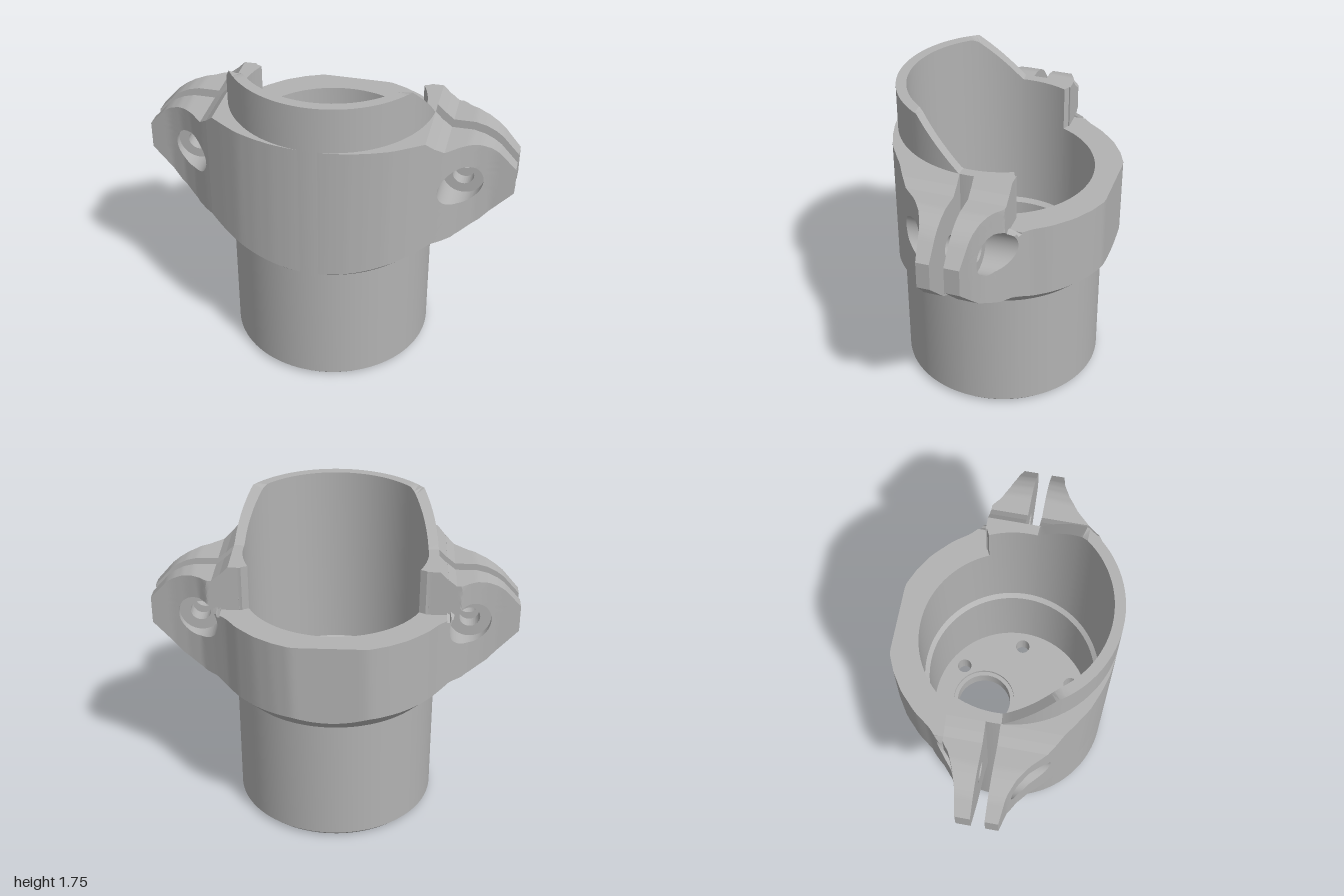
import * as THREE from 'three';
import { toCreasedNormals } from 'three/addons/utils/BufferGeometryUtils.js';

const CZ = 0.035;          // z of the tube axis
const R = 0.555;           // tube outer radius
const STEP_Z = -0.2;       // the rear of the clamp is lower behind this plane
const JOIN_X = 0.6;        // where the ears meet the clamp body
const V = (x, y, z) => new THREE.Vector3(x, y, z);
const { clamp, lerp } = THREE.MathUtils;

// Plan outlines [x, z] of the two clamp halves, from the centre to the ear tip
const HALVES = {
  front: {
    slot: 0.075, floor: 0.145, pocket: 0.11,
    plan: [[0, 0.59], [0.1, 0.585], [0.2, 0.57], [0.3, 0.54], [0.4, 0.5], [0.5, 0.435], [0.6, 0.365],
      [0.645, 0.33], [0.72, 0.255], [0.8, 0.2], [0.88, 0.165], [1, 0.145]],
  },
  rear: {
    slot: 0, floor: -0.08, pocket: 0.115,
    plan: [[0, -0.59], [0.2, -0.59], [0.3, -0.547], [0.4, -0.484], [0.5, -0.388], [0.56, -0.305],
      [0.645, -0.225], [0.72, -0.16], [0.8, -0.125], [0.88, -0.1], [1, -0.08]],
  },
};

// Ear outline in x, y
const EAR = [[0.6, 0.776], [0.655, 0.84], [0.74, 0.88], [0.83, 0.935], [1, 1.1], [1, 1.25], [0.91, 1.35],
  [0.87, 1.38], [0.82, 1.405], [0.76, 1.42], [0.645, 1.42], [0.6, 1.457]];
const BOLT = { x: 0.73, y: 1.18, r: 0.056 };

function planZ(plan, x) {
  const ax = Math.min(Math.abs(x), 1);
  let i = 1;
  while (i < plan.length - 1 && plan[i][0] < ax) i++;
  const [a, b] = [plan[i - 1], plan[i]];
  return lerp(a[1], b[1], (ax - a[0]) / (b[0] - a[0]));
}

// Conical underside that grows out of the tube
const coneY = (x, z) => Math.min(0.73 + Math.hypot(x, z - CZ) - R, 0.86);

// Skin closed cross-section loops; outward winding is picked from the signed volume
function loft(rings, wrap) {
  const n = rings[0].length;
  const pts = rings.flat();
  const index = [];
  const last = wrap ? rings.length : rings.length - 1;
  for (let j = 0; j < last; j++) {
    const k = (j + 1) % rings.length;
    for (let i = 0; i < n; i++) {
      const m = (i + 1) % n;
      const [a, b, c, d] = [j * n + i, j * n + m, k * n + m, k * n + i];
      index.push(a, b, c, a, c, d);
    }
  }
  let volume = 0;
  const cross = V(0, 0, 0);
  for (let i = 0; i < index.length; i += 3) {
    volume += pts[index[i]].dot(cross.crossVectors(pts[index[i + 1]], pts[index[i + 2]]));
  }
  if (volume < 0) index.reverse();
  const g = new THREE.BufferGeometry().setFromPoints(pts);
  g.setIndex(index);
  return toCreasedNormals(g, 0.45);
}

// Cup wall: full round below, stepped and sloped rim on top
function tubeGeometry() {
  const s = Math.asin((STEP_Z - CZ) / R);
  const angles = [];
  for (let i = 0; i < 90; i++) angles.push(-Math.PI / 2 + (i * Math.PI) / 45);
  for (const a of [s - 0.001, s + 0.001, 0.081, 0.561]) angles.push(a, Math.PI - a);
  angles.sort((a, b) => a - b);
  const top = (a, r) => (Math.sin(a) < Math.sin(s) ? 1.25
    : clamp(1.5 + CZ + r * Math.sin(a) - 0.08, 1.5, 1.75));
  const profile = [[0.5, 0], [0.53, 0], [R, 0.025], [R, null], [0.5, null], [0.5, 0.7], [0.475, 0.68], [0.475, 0.05]];
  return loft(profile.map(([r, y]) => angles.map((a) =>
    V(r * Math.cos(a), y === null ? top(a, r) : y, CZ + r * Math.sin(a)))), true);
}

// Floor plate with six small holes and one large offset hole
function floorGeometry(bigR, depth) {
  const shape = new THREE.Shape().absarc(0, 0, 0.501, 0, Math.PI * 2);
  const hole = (x, y, r) => shape.holes.push(new THREE.Path().absarc(x, y, r, 0, Math.PI * 2, true));
  for (let i = 0; i < 6; i++) hole(0.387 * Math.cos(i * Math.PI / 3), 0.387 * Math.sin(i * Math.PI / 3), 0.042);
  hole(0, 0.175, bigR);
  const g = new THREE.ExtrudeGeometry(shape, { depth, bevelEnabled: false, curveSegments: 32 });
  return toCreasedNormals(g.rotateX(-Math.PI / 2).translate(0, 0, CZ), 0.45);
}

// Central part of a clamp half, wrapped around the tube
function bodyGeometry({ slot, plan }, isRear) {
  const xs = [];
  for (let i = -20; i <= 20; i++) xs.push(i * 0.03);
  for (const x of [0.486, 0.487, 0.555]) xs.push(x, -x);
  xs.sort((a, b) => a - b);
  const rings = xs.map((x) => {
    const reach = Math.sqrt(Math.max(0, 0.54 ** 2 - x * x));
    const zin = isRear ? Math.min(slot, CZ - reach) : Math.max(slot, CZ + reach);
    const zout = planZ(plan, x);
    const high = 1.5 - Math.max(0, Math.abs(x) - 0.555);
    const ring = [];
    for (let j = 0; j <= 6; j++) {
      const z = lerp(zin, zout, j / 6);
      ring.push(V(x, coneY(x, z), z));
    }
    if (isRear) {
      const zs = Math.min(zin, STEP_Z);
      const y = zin > STEP_Z ? high : 1.25;
      ring.push(V(x, 1.25, zout), V(x, 1.25, zs), V(x, y, zs), V(x, y, zin));
    } else {
      ring.push(V(x, high, zout), V(x, high, zin));
    }
    return ring;
  });
  // Close both ends
  const cap = (ring) => {
    const c = ring.reduce((sum, p) => sum.add(p), V(0, 0, 0)).divideScalar(ring.length);
    return ring.map(() => c.clone());
  };
  return loft([cap(rings[0]), ...rings, cap(rings[rings.length - 1])], false);
}

// Flared ear with a bolt hole and a round pocket for the bolt head
function earGeometry({ slot, floor, pocket, plan }, isRear, side) {
  const outline = [];
  EAR.forEach(([x, y], i) => {
    const [x2, y2] = EAR[(i + 1) % EAR.length];
    const n = Math.ceil(Math.hypot(x2 - x, y2 - y) / 0.025);
    for (let k = 0; k < n; k++) outline.push([lerp(x, x2, k / n), lerp(y, y2, k / n)]);
  });
  const face = (x, y) => {
    const z = planZ(plan, x);
    return isRear && y > 1.25 ? Math.max(z, STEP_Z) : z;
  };
  const circle = (r) => outline.map(([x, y]) => {
    const a = Math.atan2(y - BOLT.y, x - BOLT.x);
    return [BOLT.x + r * Math.cos(a), BOLT.y + r * Math.sin(a)];
  });
  const edge = outline.map(([x, y]) => [x, y < 1 ? Math.max(y, x < 0.7 ? coneY(x, face(x, y)) : y) : y]);
  const rim = circle(pocket);
  const bore = circle(BOLT.r);
  const at = (loop, z) => loop.map(([x, y]) => V(side * x, y, z === null ? face(x, y) : z));
  const between = (t) => edge.map(([x, y], i) => [lerp(x, rim[i][0], t), lerp(y, rim[i][1], t)]);
  const rings = [at(bore, slot), at(outline, slot)];
  for (let k = 0; k <= 6; k++) rings.push(at(between(k / 6), null));
  rings.push(at(rim, floor), at(bore, floor));
  return loft(rings, true);
}

export function createModel() {
  const group = new THREE.Group();
  const grey = new THREE.MeshStandardMaterial({ color: 0xb2b2b2 });
  grey.name = 'grey';
  const add = (name, geometry) => {
    const mesh = new THREE.Mesh(geometry, grey);
    mesh.name = name;
    group.add(mesh);
    return mesh;
  };

  add('cupWall', tubeGeometry());
  add('cupFloor', floorGeometry(0.163, 0.1));
  add('cupFloorRecess', floorGeometry(0.187, 0.02)).position.y = 0.1;

  for (const [name, half] of Object.entries(HALVES)) {
    const isRear = name === 'rear';
    add(`${name}ClampBody`, bodyGeometry(half, isRear));
    add(`${name}LeftEar`, earGeometry(half, isRear, 1));
    add(`${name}RightEar`, earGeometry(half, isRear, -1));
  }
  return group;
}
